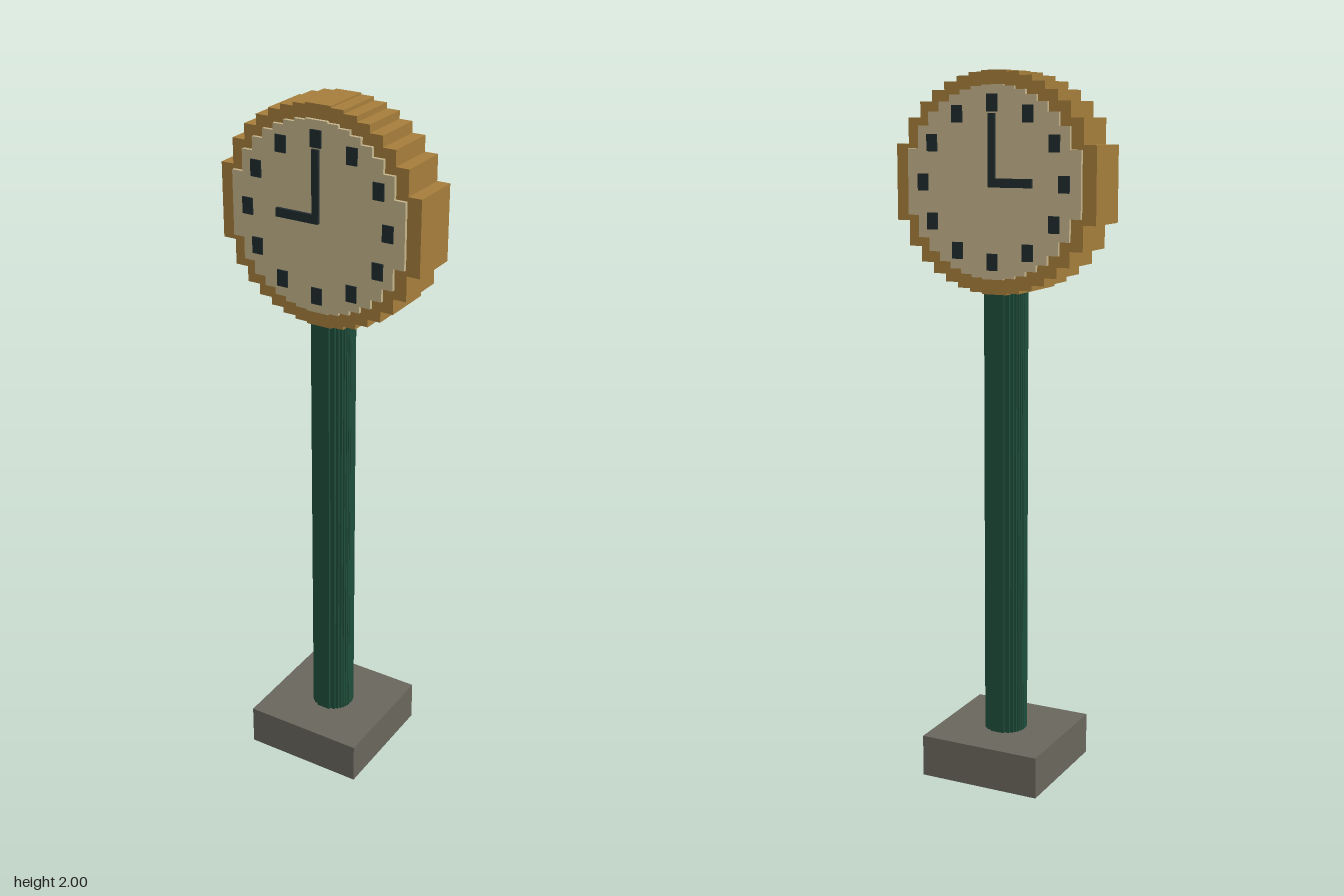
import * as THREE from 'three';

const HEAD_Y = 1.702;

const paint = (name, color) => {
  const m = new THREE.MeshStandardMaterial({ color });
  m.name = name;
  return m;
};

// Circle built from equal strips, each as tall as the circle at its middle
function steppedDisc(radius, depth, strips = 16) {
  const w = (2 * radius) / strips;
  const top = [];
  for (let i = 0; i < strips; i++) {
    const x = -radius + i * w;
    const h = Math.sqrt(radius ** 2 - (x + w / 2) ** 2);
    top.push(new THREE.Vector2(x, h), new THREE.Vector2(x + w, h));
  }
  const bottom = top.map((p) => new THREE.Vector2(p.x, -p.y)).reverse();
  return new THREE.ExtrudeGeometry(new THREE.Shape([...top, ...bottom]), { depth, bevelEnabled: false });
}

export function createModel() {
  const group = new THREE.Group();
  const stone = paint('stone', 0x6b685e);
  const green = paint('dark green', 0x1f4f3c);
  const gold = paint('gold', 0xa8803c);
  const cream = paint('cream', 0xc8b88e);
  const black = paint('black', 0x212c2f);

  const add = (name, geometry, material, x, y, z, parent = group) => {
    const mesh = new THREE.Mesh(geometry, material);
    mesh.name = name;
    mesh.position.set(x, y, z);
    parent.add(mesh);
    return mesh;
  };

  // Base block and stepped round post, layered front to back
  add('base', new THREE.BoxGeometry(0.36, 0.12, 0.36), stone, 0, 0.06, 0);
  const post = steppedDisc(0.06, 1.3).rotateZ(Math.PI / 2).rotateX(-Math.PI / 2);
  add('post', post, green, 0, 0.12, 0);

  // Clock case
  add('clockCase', steppedDisc(0.3, 0.15), gold, 0, HEAD_Y - 0.002, -0.075);

  // Dial, hour marks and hands on both sides
  for (const side of [1, -1]) {
    const face = new THREE.Group();
    face.name = side > 0 ? 'frontFace' : 'backFace';
    face.position.y = HEAD_Y;
    group.add(face);

    add('dial', steppedDisc(0.26, 0.01), cream, 0, 0, side > 0 ? 0.075 : -0.085, face);
    for (let i = 0; i < 12; i++) {
      const a = (i * Math.PI) / 6;
      add('hourMark', new THREE.BoxGeometry(0.032, 0.046, 0.004), black,
        0.212 * Math.sin(a), 0.212 * Math.cos(a), side * 0.087, face);
    }
    add('minuteHand', new THREE.BoxGeometry(0.02, 0.195, 0.008), black, 0, 0.0875, side * 0.089, face);
    add('hourHand', new THREE.BoxGeometry(0.128, 0.024, 0.009), black, -0.056, 0.001, side * 0.0895, face);
  }
  return group;
}
